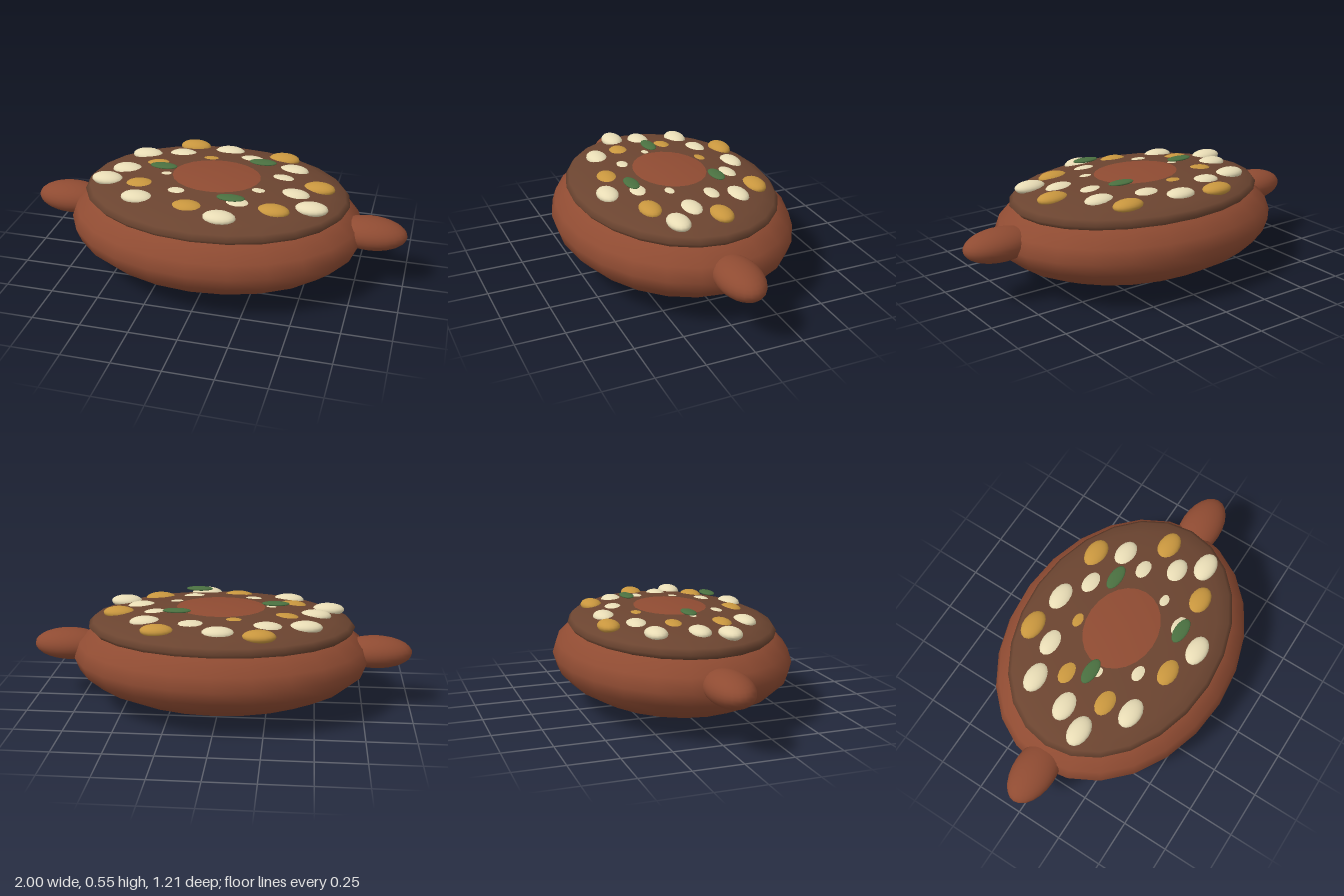
import * as THREE from 'three';

const clay = new THREE.MeshStandardMaterial({ color: 0x8f4b32 });
const stewBrown = new THREE.MeshStandardMaterial({ color: 0x6b4430 });
const cream = new THREE.MeshStandardMaterial({ color: 0xe8dcb5 });
const gold = new THREE.MeshStandardMaterial({ color: 0xc8963e });
const green = new THREE.MeshStandardMaterial({ color: 0x4a7040 });

// Every part is a stretched sphere: centre and three radii
function ellipsoid(name, material, [x, y, z], [rx, ry, rz], widthSegments, heightSegments) {
  const geometry = new THREE.SphereGeometry(1, widthSegments, heightSegments);
  geometry.scale(rx, ry, rz);
  const mesh = new THREE.Mesh(geometry, material);
  mesh.name = name;
  mesh.position.set(x, y, z);
  return mesh;
}

export function createModel() {
  const model = new THREE.Group();
  model.name = 'stewPot';

  // Clay pot and the stew filling it
  model.add(ellipsoid('pot', clay, [0, 0.269, 0], [0.78, 0.266, 0.605], 24, 12));
  model.add(ellipsoid('stew', stewBrown, [0, 0.43, 0], [0.7, 0.098, 0.522], 24, 12));

  // Side handles
  for (const side of [1, -1]) {
    const name = side > 0 ? 'leftHandle' : 'rightHandle';
    model.add(ellipsoid(name, clay, [side * 0.81, 0.298, 0], [0.19, 0.083, 0.111], 24, 16));
  }

  // Beans half sunk in the stew, as [x, z]
  const beans = new THREE.Group();
  beans.name = 'beans';
  const creamSpots = [
    [-0.015, -0.36], [0.125, -0.265], [0.365, -0.21], [0.325, -0.08],
    [0.42, 0.065], [0.53, 0.18], [0.235, 0.1], [0.16, 0.235],
    [0.11, 0.38], [-0.155, 0.195], [-0.345, 0.275], [-0.56, 0.11],
    [-0.49, -0.02], [-0.445, -0.225], [-0.25, -0.26], [-0.25, 0.03],
  ];
  const goldSpots = [
    [-0.22, -0.395], [0.29, -0.345], [0.53, -0.045], [0.35, 0.25],
    [-0.07, 0.315], [-0.365, 0.14], [-0.335, -0.1], [-0.08, -0.205],
  ];
  for (const [name, material, spots] of [['creamBean', cream, creamSpots], ['goldBean', gold, goldSpots]]) {
    for (const [x, z] of spots) {
      beans.add(ellipsoid(name, material, [x, 0.49, z], [0.084, 0.032, 0.055], 16, 12));
    }
  }
  model.add(beans);

  // Herb leaves floating just above the top
  const leaves = new THREE.Group();
  leaves.name = 'herbLeaves';
  for (const [x, z] of [[0.21, -0.17], [-0.285, 0], [0.14, 0.265]]) {
    leaves.add(ellipsoid('herbLeaf', green, [x, 0.545, z], [0.073, 0.01, 0.035], 16, 10));
  }
  model.add(leaves);

  return model;
}
